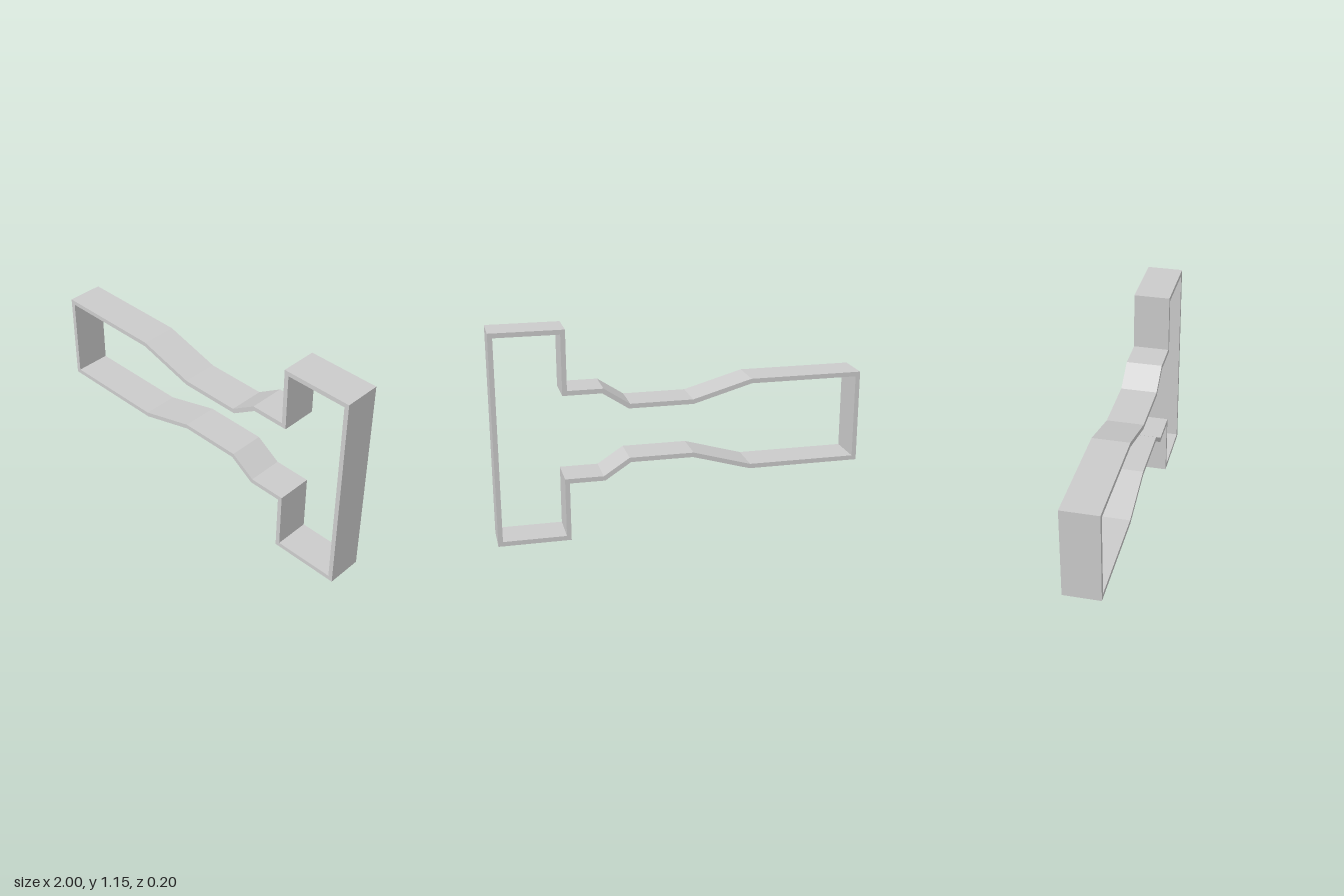
import * as THREE from 'three';

const MID = 0.577, WALL = 0.025, DEPTH = 0.2;

// Upper half of the outer outline, left to right (y measured from the mid line)
const upper = [
  [-1, 0.254], [-0.38, 0.254], [-0.06, 0.162], [0.28, 0.162],
  [0.42, 0.254], [0.61, 0.254], [0.61, 0.577], [1, 0.577],
].map(([x, y]) => new THREE.Vector2(x, y));

// Mitred inward offset of a closed clockwise outline
function inset(points, d) {
  const n = points.length;
  const normal = (a, b) => new THREE.Vector2(b.y - a.y, a.x - b.x).normalize();
  return points.map((p, i) => {
    const n1 = normal(points[(i + n - 1) % n], p);
    const n2 = normal(p, points[(i + 1) % n]);
    return n1.clone().add(n2).multiplyScalar(d / (1 + n1.dot(n2))).add(p);
  });
}

export function createModel() {
  const group = new THREE.Group();
  group.name = 'cutterFrame';

  // Mirror the half outline downwards to close the loop
  const lower = upper.map((p) => new THREE.Vector2(p.x, -p.y)).reverse();
  const outer = [...upper, ...lower];

  // Thin wall: outline with its inset as the hole, wound the other way so the inside faces inwards
  const shape = new THREE.Shape(outer);
  shape.holes.push(new THREE.Path(inset(outer, WALL).reverse()));
  const geometry = new THREE.ExtrudeGeometry(shape, { depth: DEPTH, bevelEnabled: false });
  geometry.translate(0, MID, -DEPTH / 2);

  const wall = new THREE.Mesh(
    geometry,
    new THREE.MeshStandardMaterial({ color: 0xcccccc, flatShading: true }),
  );
  wall.name = 'outlineWall';
  group.add(wall);
  return group;
}
